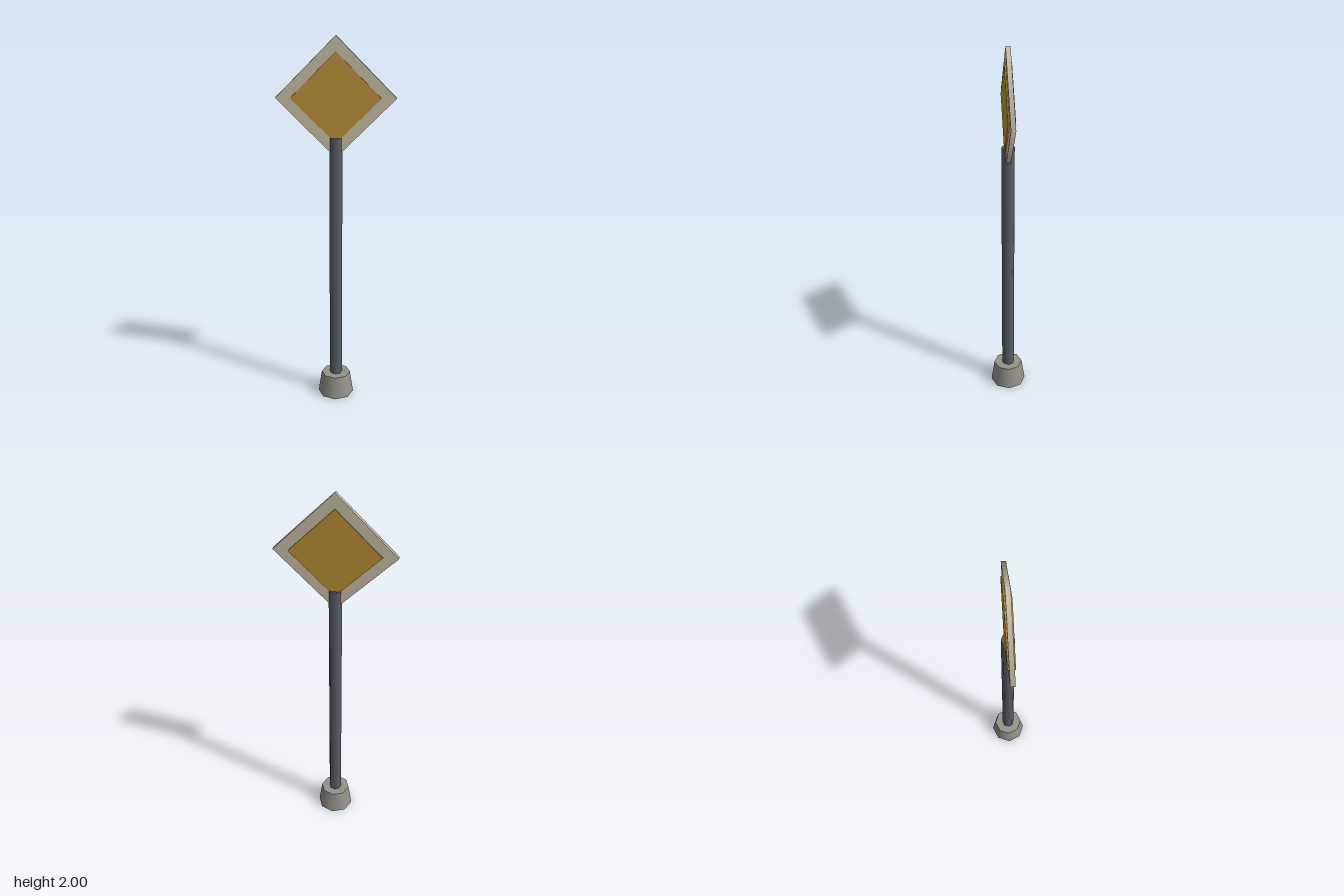
import * as THREE from 'three';

export function createModel() {
  const model = new THREE.Group();
  const paint = (name, color) => {
    const m = new THREE.MeshStandardMaterial({ color });
    m.name = name;
    return m;
  };
  const concrete = paint('concrete', 0x96938a);
  const steel = paint('dark steel', 0x585f66);
  const cream = paint('cream', 0xcfc4ac);
  const amber = paint('amber', 0xbe9538);

  const add = (name, geometry, material, y) => {
    const mesh = new THREE.Mesh(geometry, material);
    mesh.name = name;
    mesh.position.set(0, y, -0.001);
    model.add(mesh);
  };

  // Tapered octagonal foot and octagonal post
  add('base', new THREE.CylinderGeometry(0.08, 0.099, 0.125, 8), concrete, 0.0625);
  add('post', new THREE.CylinderGeometry(0.034, 0.034, 1.488, 8), steel, 0.746);

  // Four-sided discs stood upright make the diamond sign
  const diamond = (radius, depth) =>
    new THREE.CylinderGeometry(radius, radius, depth, 4).rotateX(Math.PI / 2);
  add('signBoard', diamond(0.307, 0.024), cream, 1.693);
  // Thicker inner diamond shows on both faces
  add('signPanel', diamond(0.23, 0.038), amber, 1.693);

  return model;
}
